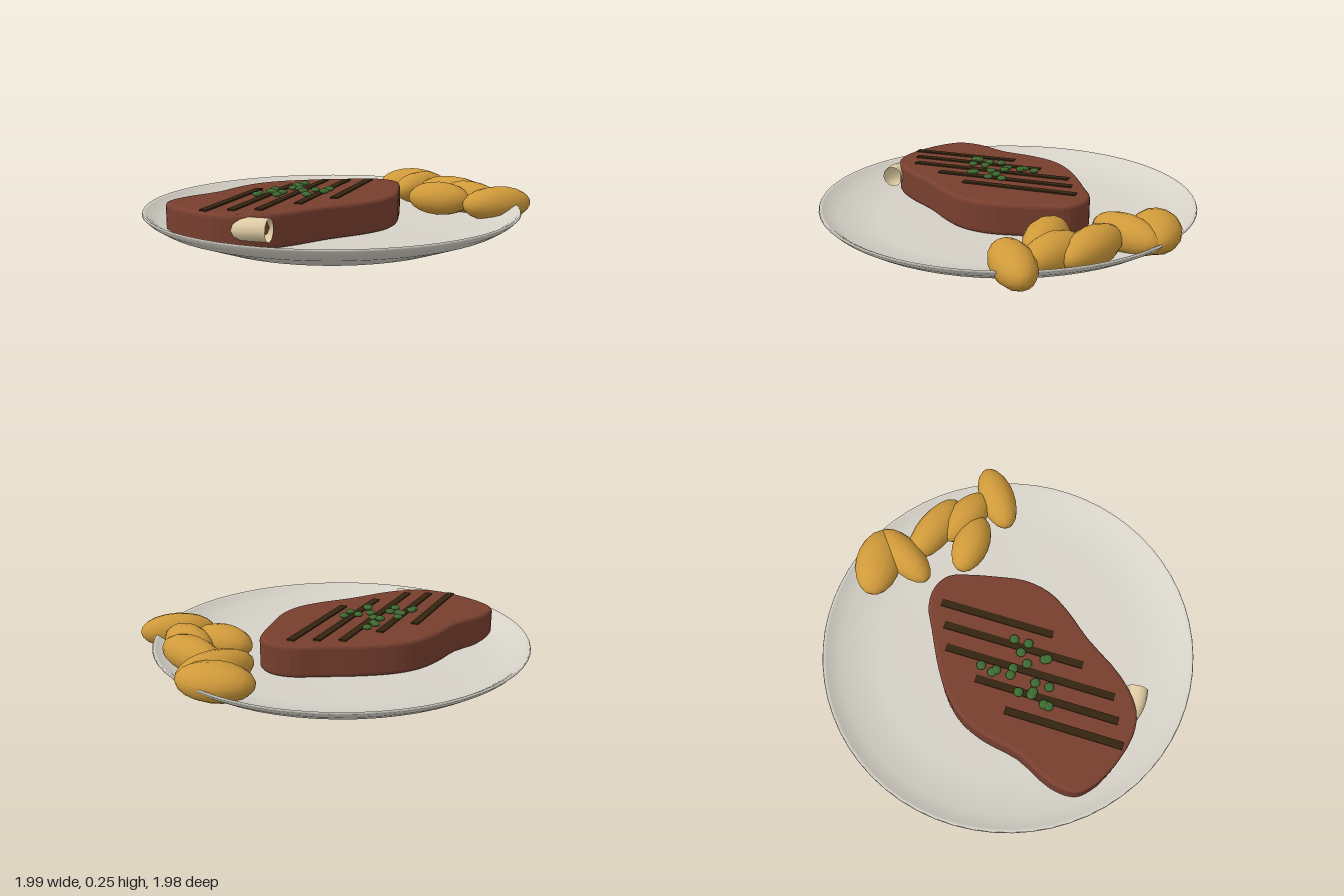
import * as THREE from 'three';

const mat = (name, color, side = THREE.FrontSide) => {
  const m = new THREE.MeshStandardMaterial({ color, side });
  m.name = name;
  return m;
};

export function createModel() {
  const group = new THREE.Group();
  const plateMat = mat('stoneware', 0xd6d2c8);
  const steakMat = mat('seared meat', 0x783f2f);
  const grillMat = mat('char', 0x33240f);
  const potatoMat = mat('roast potato', 0xd09a3a);
  const herbMat = mat('herb green', 0x3d6a30);
  const boneMat = mat('bone cream', 0xe0cda5, THREE.DoubleSide);

  const add = (parent, name, geometry, material, x = 0, y = 0, z = 0) => {
    const mesh = new THREE.Mesh(geometry, material);
    mesh.name = name;
    mesh.position.set(x, y, z);
    parent.add(mesh);
    return mesh;
  };
  const addGroup = (name) => {
    const g = new THREE.Group();
    g.name = name;
    group.add(g);
    return g;
  };

  // Plate: underside, outer wall, rim, then the shallow well
  const profile = [[0, 0], [0.7, 0], [0.91, 0.08], [0.965, 0.115], [0.99, 0.14], [0.985, 0.15],
    [0.97, 0.142], [0.9, 0.095], [0.7, 0.05], [0, 0.045]].map(([r, y]) => new THREE.Vector2(r, y));
  add(group, 'plate', new THREE.LatheGeometry(profile, 64), plateMat, -0.005, 0, -0.005);

  // Steak: rounded outline (x, z) extruded upwards with a soft edge
  const outline = [[-0.885, -0.03], [-0.87, -0.115], [-0.77, -0.195], [-0.56, -0.265], [-0.4, -0.365],
    [-0.265, -0.42], [-0.13, -0.43], [0.03, -0.4], [0.24, -0.33], [0.375, -0.28], [0.455, -0.2],
    [0.475, -0.105], [0.43, -0.01], [0.35, 0.11], [0.245, 0.245], [0.12, 0.325], [-0.025, 0.355],
    [-0.21, 0.365], [-0.48, 0.405], [-0.665, 0.375], [-0.77, 0.285], [-0.855, 0.11]];
  const curve = new THREE.CatmullRomCurve3(outline.map(([x, z]) => new THREE.Vector3(x, -z, 0)), true);
  const shape = new THREE.Shape(curve.getPoints(66).slice(0, -1).map((p) => new THREE.Vector2(p.x, p.y)));
  const steak = new THREE.ExtrudeGeometry(shape, {
    depth: 0.13, bevelThickness: 0.02, bevelSize: 0.02, bevelOffset: -0.02, bevelSegments: 3,
  });
  steak.rotateX(-Math.PI / 2);
  add(group, 'steak', steak, steakMat, 0, 0.07, 0);

  // Diagonal grill marks
  const marks = addGroup('grillMarks');
  [0.62, 0.76, 0.91, 0.76, 0.62].forEach((length, i) => {
    const mark = add(marks, 'grillMark', new THREE.BoxGeometry(length, 0.009, 0.04), grillMat,
      -0.562 + i * 0.171, 0.2225, 0);
    mark.rotation.y = THREE.MathUtils.degToRad(43);
  });

  // Chopped herbs scattered over the middle
  const herbs = addGroup('herbs');
  const herbGeo = new THREE.SphereGeometry(0.026, 10, 6);
  [[-0.07, -0.2], [-0.13, -0.17], [-0.13, -0.145], [-0.19, -0.095], [-0.165, -0.065], [-0.29, -0.105],
    [-0.335, -0.055], [-0.325, -0.04], [-0.41, -0.025], [-0.43, -0.01], [-0.29, -0.005], [-0.345, 0.045],
    [-0.18, 0.01], [-0.11, 0.013], [-0.03, 0.02], [-0.088, 0.072], [-0.205, 0.1], [-0.21, 0.115],
  ].forEach(([x, z]) => {
    add(herbs, 'herb', herbGeo, herbMat, x, 0.235, z).scale.y = 0.5;
  });

  // Potatoes: x, z, half length, half width, heading in degrees
  const potatoes = addGroup('potatoes');
  const potatoGeo = new THREE.SphereGeometry(1, 14, 10).rotateZ(Math.PI / 2);
  [[0.77, -0.395, 0.195, 0.125, -38], [0.735, -0.25, 0.2, 0.095, 12], [0.8, -0.02, 0.215, 0.1, -65],
    [0.615, 0.11, 0.175, 0.1, -50], [0.78, 0.165, 0.18, 0.1, -70], [0.8, 0.38, 0.197, 0.1, -11],
  ].forEach(([x, z, length, width, heading]) => {
    const potato = add(potatoes, 'potato', potatoGeo, potatoMat, x, 0.142, z);
    potato.scale.set(length, 0.094, width);
    potato.rotation.y = THREE.MathUtils.degToRad(heading);
  });

  // Hollow bone end curving out from under the steak
  const bonePath = new THREE.CatmullRomCurve3([
    new THREE.Vector3(-0.56, 0.155, 0.457), new THREE.Vector3(-0.61, 0.155, 0.41),
    new THREE.Vector3(-0.65, 0.15, 0.34), new THREE.Vector3(-0.66, 0.14, 0.26),
  ]);
  add(group, 'bone', new THREE.TubeGeometry(bonePath, 10, 0.057, 12), boneMat);

  return group;
}
